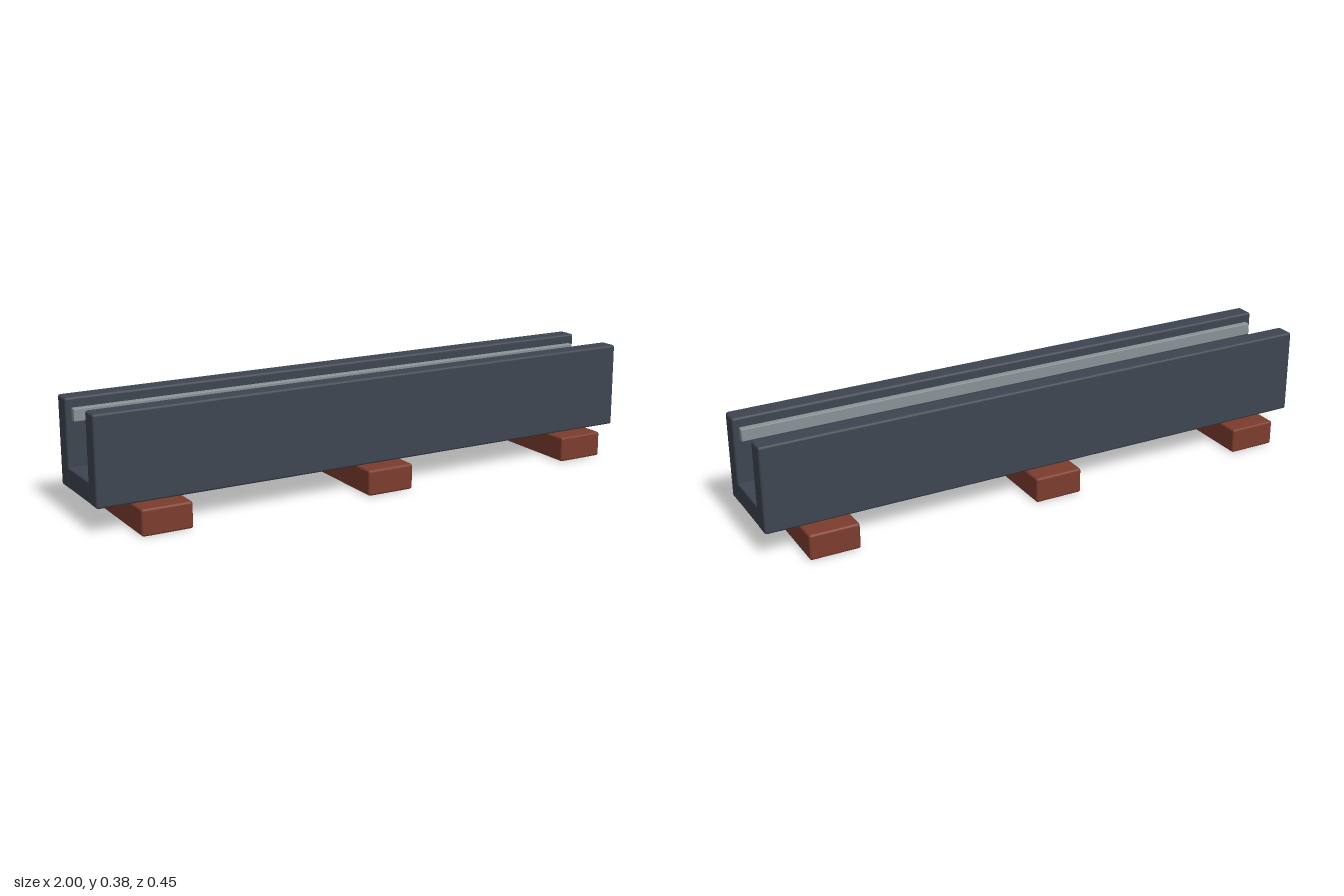
import * as THREE from 'three';
import { RoundedBoxGeometry } from 'three/addons/geometries/RoundedBoxGeometry.js';

function material(name, color) {
  const m = new THREE.MeshStandardMaterial({ color });
  m.name = name;
  return m;
}

export function createModel() {
  const model = new THREE.Group();
  model.name = 'channelTrack';

  const steel = material('dark slate', 0x3e4550);
  const brick = material('red brown', 0x7c3c2e);
  const gold = material('ochre gold', 0xc4963a);
  const grey = material('light grey', 0x8a9295);

  // Softly bevelled box given by its centre and size
  function block(name, mat, [x, y, z], [w, h, d], radius) {
    const mesh = new THREE.Mesh(new RoundedBoxGeometry(w, h, d, 2, radius), mat);
    mesh.name = name;
    mesh.position.set(x, y, z);
    model.add(mesh);
  }

  // Channel floor
  block('channelFloor', steel, [0, 0.125, 0], [1.998, 0.07, 0.3], 0.006);

  // Side walls with a guide rail along each inner face
  for (const [side, s] of [['front', 1], ['back', -1]]) {
    block(side + 'Wall', steel, [0, 0.237, s * 0.1205], [2, 0.296, 0.067], 0.008);
    block(side + 'GuideRail', grey, [0, 0.331, s * 0.078], [1.96, 0.042, 0.024], 0.003);
  }

  // Cross sleepers underneath
  for (const x of [-0.8, 0, 0.8]) {
    block('sleeper', brick, [x, 0.046, 0], [0.17, 0.088, 0.448], 0.008);
  }

  // Stop blocks near both ends
  for (const x of [-0.85, 0.85]) {
    block('stopBlock', gold, [x, 0.236, 0], [0.06, 0.103, 0.163], 0.005);
  }

  // Rest the sleepers on the ground
  model.position.y = -0.002;
  return model;
}
